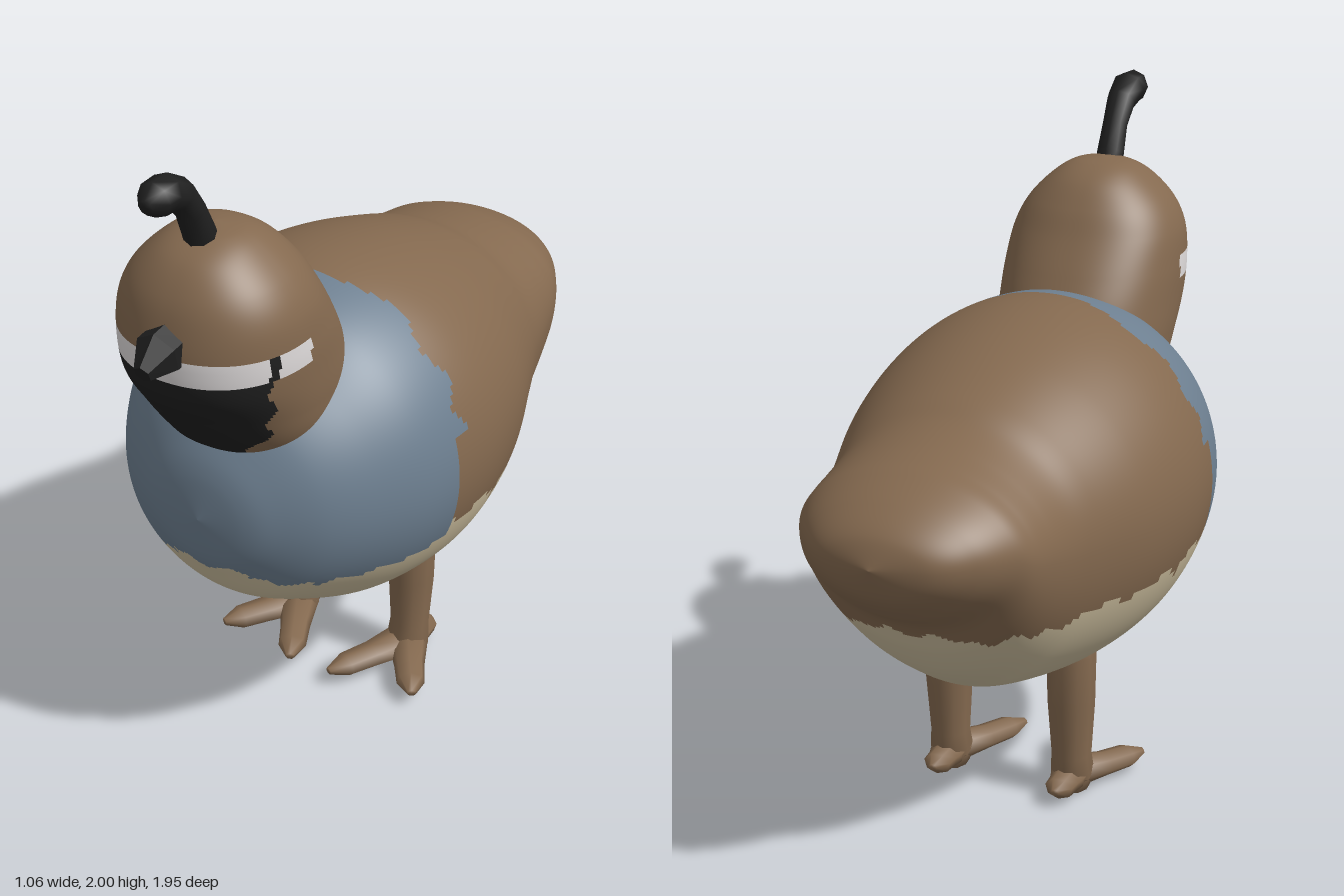
import * as THREE from 'three';

const mat = (name, color) => Object.assign(new THREE.MeshStandardMaterial({ color }), { name });

// Skin a list of closed rings; pick(x, y, z) chooses the material index of each quad
function loft(rings, pick = () => 0) {
  const n = rings[0].length, faces = [];
  for (let i = 0; i < rings.length - 1; i++) {
    for (let j = 0; j < n; j++) {
      const k = (j + 1) % n;
      const a = i * n + j, b = i * n + k, c = a + n, d = b + n;
      const m = rings[i][j].clone().add(rings[i + 1][k]).multiplyScalar(0.5);
      (faces[pick(m.x, m.y, m.z)] ??= []).push(a, c, b, b, c, d);
    }
  }
  const geo = new THREE.BufferGeometry().setFromPoints(rings.flat());
  geo.setIndex(faces.flat());
  let start = 0;
  faces.forEach((f, i) => {
    geo.addGroup(start, f.length, i);
    start += f.length;
  });
  geo.computeVertexNormals();
  return geo;
}

// Smoothly resample a table of cross-sections; the first column drives the others
function resample(table, steps) {
  const curves = table[0].slice(1).map((_, c) =>
    new THREE.SplineCurve(table.map(r => new THREE.Vector2(r[0], r[c + 1]))));
  return Array.from({ length: steps + 1 }, (_, i) => {
    const p = curves.map(c => c.getPoint(i / steps));
    return [p[0].x, ...p.map(q => q.y)];
  });
}

const ring = (n, f) => Array.from({ length: n }, (_, j) => f(j / n * Math.PI * 2));

// Capped tube through [x, y, z, radius] points; flat squashes its height
function limb(points, sides = 8, flat = 1) {
  const P = points.map(p => new THREE.Vector3(p[0], p[1], p[2]));
  const side = new THREE.Vector3(1, 0, 0);
  const rings = P.map((p, i) => {
    const t = P[Math.min(i + 1, P.length - 1)].clone().sub(P[Math.max(i - 1, 0)]).normalize();
    const u = t.clone().cross(side).normalize(), v = u.clone().cross(t);
    return ring(sides, a => p.clone()
      .addScaledVector(u, Math.cos(a) * points[i][3] * flat)
      .addScaledVector(v, Math.sin(a) * points[i][3]));
  });
  const cap = p => ring(sides, () => p.clone());
  return loft([cap(P[0]), ...rings, cap(P[P.length - 1])]);
}

// Body sections: z, top, bottom, half width, height of widest point
const BODY = [
  [0.76, 0.93, 0.93, 0, 0.93], [0.74, 1.06, 0.80, 0.13, 0.93],
  [0.70, 1.15, 0.72, 0.22, 0.93], [0.62, 1.26, 0.61, 0.33, 0.93],
  [0.50, 1.35, 0.53, 0.42, 0.93], [0.35, 1.43, 0.455, 0.49, 0.93],
  [0.17, 1.46, 0.405, 0.525, 0.93], [0, 1.447, 0.39, 0.527, 0.93],
  [-0.2, 1.40, 0.41, 0.49, 0.93], [-0.4, 1.33, 0.46, 0.42, 0.94],
  [-0.5, 1.285, 0.515, 0.387, 0.95], [-0.6, 1.255, 0.59, 0.367, 0.97],
  [-0.68, 1.235, 0.68, 0.35, 0.99], [-0.75, 1.215, 0.785, 0.32, 1.02],
  [-0.85, 1.17, 0.855, 0.255, 1.03], [-0.93, 1.11, 0.93, 0.16, 1.03],
  [-0.97, 1.03, 1.03, 0, 1.03],
];

// Head and neck sections: y, front z, back z, half width
const HEAD = [
  [1.785, 0.63, 0.63, 0], [1.77, 0.71, 0.55, 0.085], [1.73, 0.785, 0.48, 0.15],
  [1.66, 0.84, 0.42, 0.218], [1.58, 0.87, 0.37, 0.257], [1.48, 0.885, 0.305, 0.27],
  [1.38, 0.872, 0.25, 0.27], [1.28, 0.808, 0.22, 0.265], [1.18, 0.735, 0.22, 0.25],
  [1.08, 0.66, 0.22, 0.20],
];

export function createModel() {
  const brown = mat('brown feathers', 0x84694f);
  const blue = mat('slate blue breast', 0x6d7f90);
  const cream = mat('cream belly', 0xcdbf9f);
  const black = mat('black', 0x1f1f1f);
  const white = mat('white stripe', 0xdedada);
  const model = new THREE.Group();
  const add = (name, geo, material, parent = model) => {
    const mesh = new THREE.Mesh(geo, material);
    mesh.name = name;
    parent.add(mesh);
    return mesh;
  };

  // Body with ragged feather edges between the colours
  const bodyRings = resample(BODY, 192).map(([z, top, bottom, w, mid]) =>
    ring(144, a => {
      const s = Math.sin(a);
      return new THREE.Vector3(w * Math.cos(a), mid + s * (s > 0 ? top - mid : mid - bottom), z);
    }));
  const bodyColour = (x, y, z) => {
    const breast = z > (y > 1.07 ? 0.19 : 0.235) + 0.02 * Math.sin(y * 40) * (y > 1.07 ? 1 : 0);
    const wave = 0.018 * Math.sin(x * 45 + 1.5) * Math.cos(z * 38);
    const edge = breast ? (Math.abs(x) < 0.12 ? 0.76 : 0.73) : (z > 0 ? 0.78 : 0.75);
    if (y < edge + wave && z > -0.73) return 2;
    return breast ? 1 : 0;
  };
  add('body', loft(bodyRings, bodyColour), [brown, blue, cream]);

  // Head and neck with dark throat and pale eye stripe
  const soft = v => Math.sign(v) * Math.abs(v) ** 0.9;
  const headRings = resample(HEAD, 180).map(([y, front, back, w]) =>
    ring(160, a => new THREE.Vector3(
      w * soft(Math.cos(a)), y, (front + back) / 2 - (front - back) / 2 * soft(Math.sin(a)))));
  const headColour = (x, y, z) => {
    if (y > 1.435 && y < 1.505 && z > 0.6) return z > 0.72 && z < 0.748 ? 1 : 2;
    const edge = 0.69 + 0.055 * THREE.MathUtils.clamp((y - 1.2) / 0.23, 0, 1);
    return y <= 1.435 && z > edge + 0.01 * Math.sin(y * 60) ? 1 : 0;
  };
  add('head', loft(headRings, headColour), [brown, black, white]);

  // Faceted beak
  const beak = limb([[0, 1.53, 0.84, 0.066], [0, 1.525, 0.9, 0.066], [0, 1.5, 0.97, 0.026]], 6)
    .toNonIndexed();
  beak.computeVertexNormals();
  add('beak', beak, black);

  // Forward-curling crest
  add('crest', limb([
    [0, 1.72, 0.68, 0.046], [0, 1.78, 0.70, 0.044], [0, 1.86, 0.735, 0.04],
    [0, 1.925, 0.785, 0.046], [0, 1.952, 0.84, 0.052], [0, 1.952, 0.885, 0.05],
    [0, 1.945, 0.92, 0.022],
  ]), black);

  // Legs, each with two front toes and a heel toe
  for (const s of [1, -1]) {
    const leg = new THREE.Group();
    leg.name = s > 0 ? 'leftLeg' : 'rightLeg';
    model.add(leg);
    add('shank', limb([
      [s * 0.2, 0.56, -0.075, 0.06], [s * 0.2, 0.46, -0.077, 0.074], [s * 0.2, 0.3, -0.075, 0.071],
      [s * 0.2, 0.13, -0.07, 0.06], [s * 0.2, 0.06, -0.06, 0.066], [s * 0.2, 0.012, -0.05, 0.05],
    ], 10), brown, leg);
    for (const [x, z] of [[0.07, 0.2], [0.34, 0.16], [0.2, -0.2]]) {
      const at = (k, y, r) => [s * (0.2 + (x - 0.2) * k), y, -0.06 + (z + 0.06) * k, r];
      add('toe', limb([
        at(0, 0.06, 0.065), at(0.45, 0.052, 0.048), at(0.78, 0.052, 0.044), at(1, 0.052, 0.014),
      ], 7, 0.75), brown, leg);
    }
  }
  return model;
}
